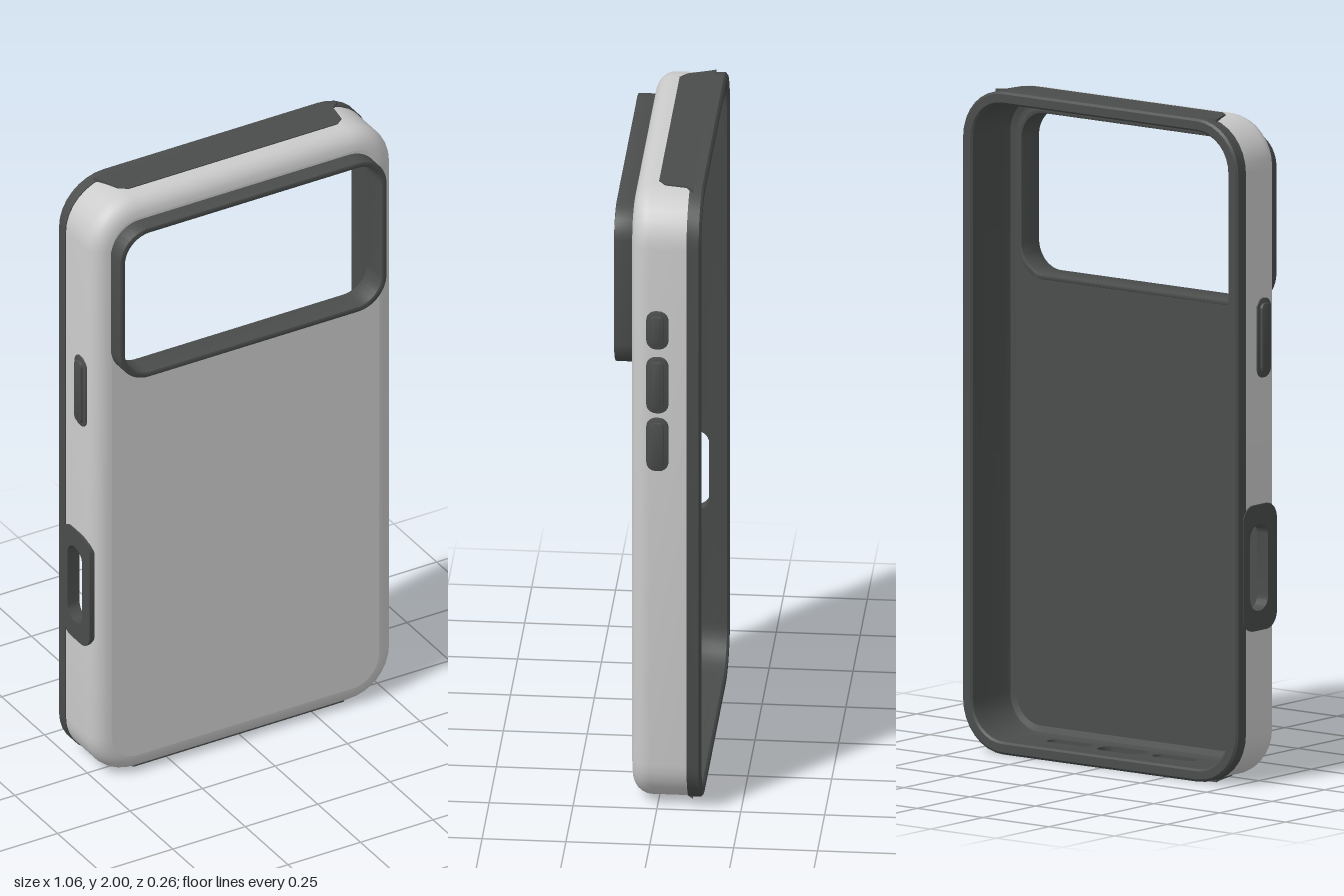
import * as THREE from 'three';
import { toCreasedNormals } from 'three/addons/utils/BufferGeometryUtils.js';

const HALF_W = 0.52, HALF_H = 0.997, CORNER = 0.15, MID_Y = 1;
const WALL = 0.035, GAP_BACK = -0.085, GAP_FRONT = 0.02;

const grey = new THREE.MeshStandardMaterial({ color: 0xcccccc });
const dark = new THREE.MeshStandardMaterial({ color: 0x4a4d4c });
const darkThin = new THREE.MeshStandardMaterial({ color: 0x4a4d4c, side: THREE.DoubleSide });

// Rounded rectangle centred on (cx, cy)
function roundRect(cx, cy, w, h, r, Type = THREE.Shape) {
  const p = new Type(), x = w / 2 - r, y = h / 2 - r;
  p.absarc(cx + x, cy + y, r, 0, Math.PI / 2);
  p.absarc(cx - x, cy + y, r, Math.PI / 2, Math.PI);
  p.absarc(cx - x, cy - y, r, Math.PI, Math.PI * 1.5);
  p.absarc(cx + x, cy - y, r, Math.PI * 1.5, Math.PI * 2);
  p.closePath();
  return p;
}

// Outline of the case: each point is a corner centre plus a direction to be scaled by the radius
function outline() {
  const pts = [], cx = HALF_W - CORNER, cy = HALF_H - CORNER, seg = 8;
  [[1, 1], [-1, 1], [-1, -1], [1, -1]].forEach(([sx, sy], c) => {
    for (let i = 0; i <= seg; i++) {
      const a = (c + i / seg) * Math.PI / 2;
      pts.push({ x: sx * cx, y: MID_Y + sy * cy, nx: Math.cos(a), ny: Math.sin(a) });
    }
    // Extra points bound the wall openings on the right side and the bottom
    if (c === 1) {
      pts.push({ x: -cx, y: 0.82, nx: -1, ny: 0, gap: true }, { x: -cx, y: 0.48, nx: -1, ny: 0 });
    }
    if (c === 2) {
      pts.push({ x: -0.34, y: MID_Y - cy, nx: 0, ny: -1, gap: true }, { x: 0.34, y: MID_Y - cy, nx: 0, ny: -1 });
    }
  });
  return pts;
}

// Sweep [inset, z] rows round the outline, leaving the openings free
function sweepWall(rows) {
  const pts = outline(), pos = [];
  const at = (p, [inset, z]) => [p.x + p.nx * (CORNER - inset), p.y + p.ny * (CORNER - inset), z];
  for (let k = 0; k < rows.length - 1; k++) {
    const a = rows[k], b = rows[k + 1];
    const openRow = Math.min(a[1], b[1]) === GAP_BACK && Math.max(a[1], b[1]) === GAP_FRONT;
    pts.forEach((p, j) => {
      if (openRow && p.gap) return;
      const q = pts[(j + 1) % pts.length];
      const A = at(p, a), B = at(q, a), C = at(q, b), D = at(p, b);
      pos.push(...A, ...B, ...C, ...A, ...C, ...D);
    });
  }
  const g = new THREE.BufferGeometry();
  g.setAttribute('position', new THREE.Float32BufferAttribute(pos, 3));
  return toCreasedNormals(g, 0.6);
}

function extrude(shape, depth, bevel = 0) {
  const g = new THREE.ExtrudeGeometry(shape, {
    depth: depth - 2 * bevel, curveSegments: 8, bevelEnabled: bevel > 0,
    bevelThickness: bevel, bevelSize: bevel, bevelOffset: -bevel, bevelSegments: 2,
  });
  g.translate(0, 0, bevel);
  return toCreasedNormals(g, 0.6);
}

export function createModel() {
  const model = new THREE.Group();
  const add = (name, geometry, material) => {
    const m = new THREE.Mesh(geometry, material);
    m.name = name;
    model.add(m);
    return m;
  };

  // Grey shell: straight sides, rounded front edge
  const shellRows = [[0, -0.09], [0, GAP_BACK], [0, GAP_FRONT]];
  for (let i = 1; i <= 6; i++) {
    const a = i / 6 * Math.PI / 2;
    shellRows.push([0.06 * (1 - Math.cos(a)), GAP_FRONT + 0.057 * Math.sin(a)]);
  }
  add('outerShell', sweepWall(shellRows), grey);

  // Dark lining and back rim
  add('liningAndRim', sweepWall([
    [0.06, 0.05], [0.042, 0.043], [WALL, GAP_FRONT], [WALL, GAP_BACK], [WALL, -0.126],
    [0.029, -0.132], [0.004, -0.132], [-0.003, -0.126], [-0.003, -0.09], [0, -0.09],
  ]), dark);

  // Flat panel, outside and inside, cut out for the camera
  const camY = 1.67, camW = 0.92, camH = 0.52;
  const panel = roundRect(0, MID_Y, 2 * HALF_W - 0.12, 2 * HALF_H - 0.12, CORNER - 0.06);
  panel.holes.push(roundRect(-0.004, camY, camW - 0.02, camH - 0.02, 0.09, THREE.Path));
  const panelGeometry = new THREE.ShapeGeometry(panel, 8);
  add('outerPanel', panelGeometry, grey).position.z = 0.077;
  add('innerPanel', panelGeometry, darkThin).position.z = 0.05;

  // Raised camera frame
  const ring = roundRect(-0.004, camY, camW, camH, 0.1);
  ring.holes.push(roundRect(-0.004, camY, camW - 0.036, camH - 0.036, 0.085, THREE.Path));
  add('cameraFrame', extrude(ring, 0.086, 0.004), dark).position.z = 0.046;

  // Dark inlays on the top and bottom edges; the bottom one has three ports
  const inlay = (front) => new THREE.Shape([
    [-0.42, -0.1], [0.42, -0.1], [0.395, -0.08], [0.385, front - 0.02], [0.36, front],
    [-0.36, front], [-0.385, front - 0.02], [-0.41, -0.08],
  ].map(([x, z]) => new THREE.Vector2(x, z)));
  const topShape = new THREE.Shape(inlay(0.005).getPoints().map((p) => new THREE.Vector2(p.x, -p.y)));
  const top = add('topInlay', extrude(topShape, 0.033), dark);
  top.rotation.x = -Math.PI / 2;
  top.position.y = 1.967;

  const bottomShape = inlay(0.04);
  [[-0.2, 0.16, 0.048], [0, 0.17, 0.075], [0.2, 0.16, 0.048]].forEach(([x, w, h]) =>
    bottomShape.holes.push(roundRect(x, -0.022, w, h, h / 2 - 0.001, THREE.Path)));
  const bottom = add('bottomInlay', extrude(bottomShape, 0.039), dark);
  bottom.rotation.x = Math.PI / 2;
  bottom.position.y = 0.039;

  // Side cutout with its dark surround
  const cutout = roundRect(-0.025, 0.65, 0.16, 0.38, 0.05);
  cutout.holes.push(roundRect(-0.03, 0.65, 0.085, 0.26, 0.04, THREE.Path));
  const surround = add('sideCutoutSurround', extrude(cutout, 0.041), dark);
  surround.rotation.y = -Math.PI / 2;
  surround.position.x = -(HALF_W - 0.036);

  // Buttons: a base pill with a narrower raised key
  const button = (name, side, y, length, rise) => {
    [['Base', 0.066, 0.004, length], ['Key', 0.04, rise, length - 0.03]].forEach(([part, w, out, len]) => {
      const m = add(name + part, extrude(roundRect(0, 0, w, len, w / 2 - 0.004), 0.02 + out, 0.003), dark);
      m.rotation.y = side * Math.PI / 2;
      m.position.set(side * (HALF_W - 0.02), y, -0.003);
    });
  };
  button('upperButton', 1, 1.583, 0.125, 0.009);
  button('middleButton', 1, 1.403, 0.185, 0.009);
  button('lowerButton', 1, 1.208, 0.175, 0.009);
  button('sideButton', -1, 1.34, 0.24, 0.013);

  return model;
}
